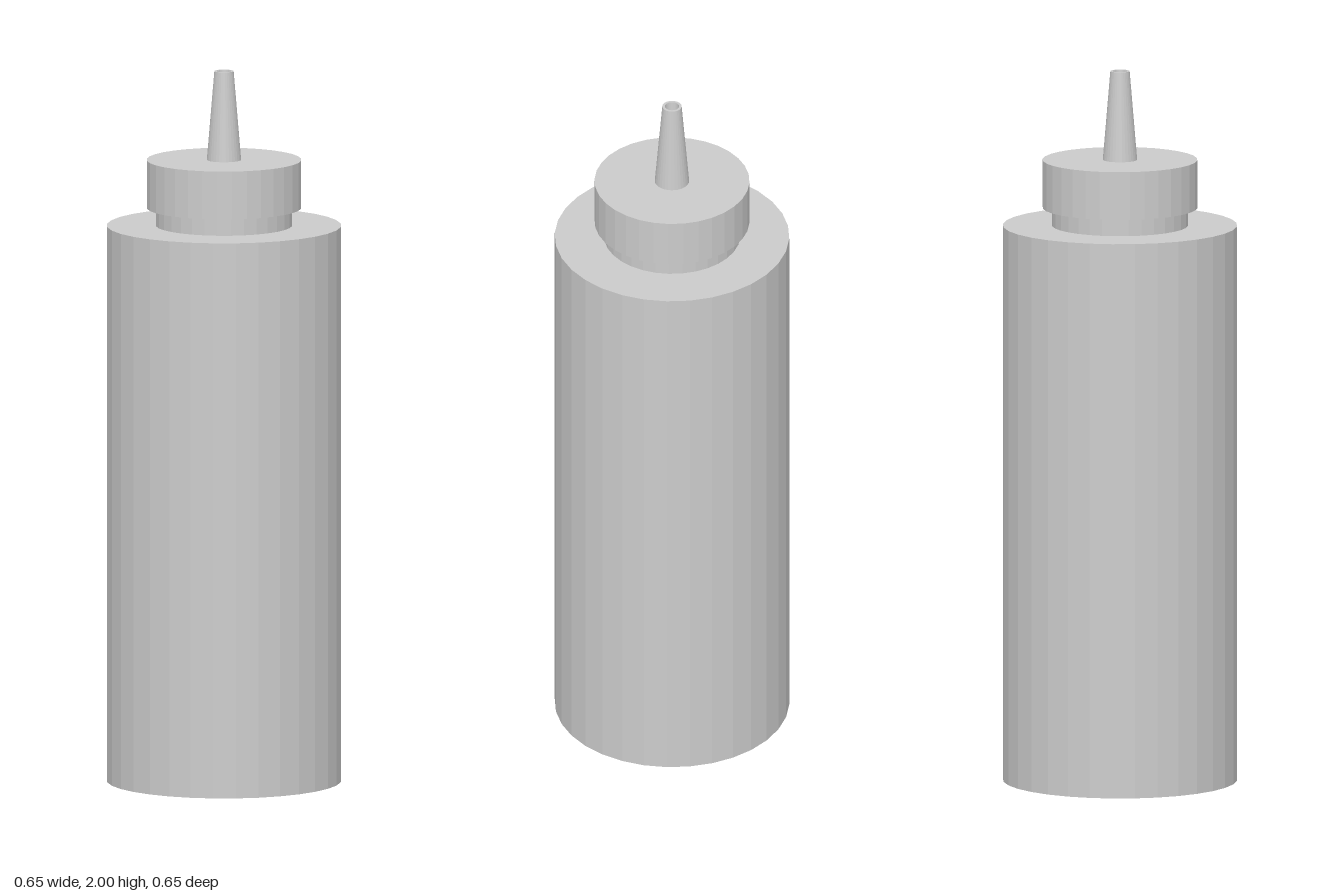
import * as THREE from 'three';

const SIDES = 32;

export function createModel() {
  const model = new THREE.Group();
  const material = new THREE.MeshStandardMaterial({ color: 0xcccccc, flatShading: true });

  // Upright faceted cylinder spanning two heights
  const addCylinder = (name, radius, bottom, top) => {
    const geometry = new THREE.CylinderGeometry(radius, radius, top - bottom, SIDES);
    const mesh = new THREE.Mesh(geometry, material);
    mesh.name = name;
    mesh.position.y = (bottom + top) / 2;
    model.add(mesh);
  };

  addCylinder('bottleBody', 0.327, 0, 1.565);
  addCylinder('neck', 0.19, 1.565, 1.615);
  addCylinder('cap', 0.216, 1.615, 1.75);

  // Tapered spout with a flat rim and a shallow bore
  const profile = [
    [0.048, 1.75],
    [0.027, 2],
    [0.02, 2],
    [0.017, 1.96],
    [0, 1.96],
  ].map(([r, y]) => new THREE.Vector2(r, y));
  const nozzle = new THREE.Mesh(new THREE.LatheGeometry(profile, SIDES), material);
  nozzle.name = 'nozzle';
  model.add(nozzle);

  return model;
}
